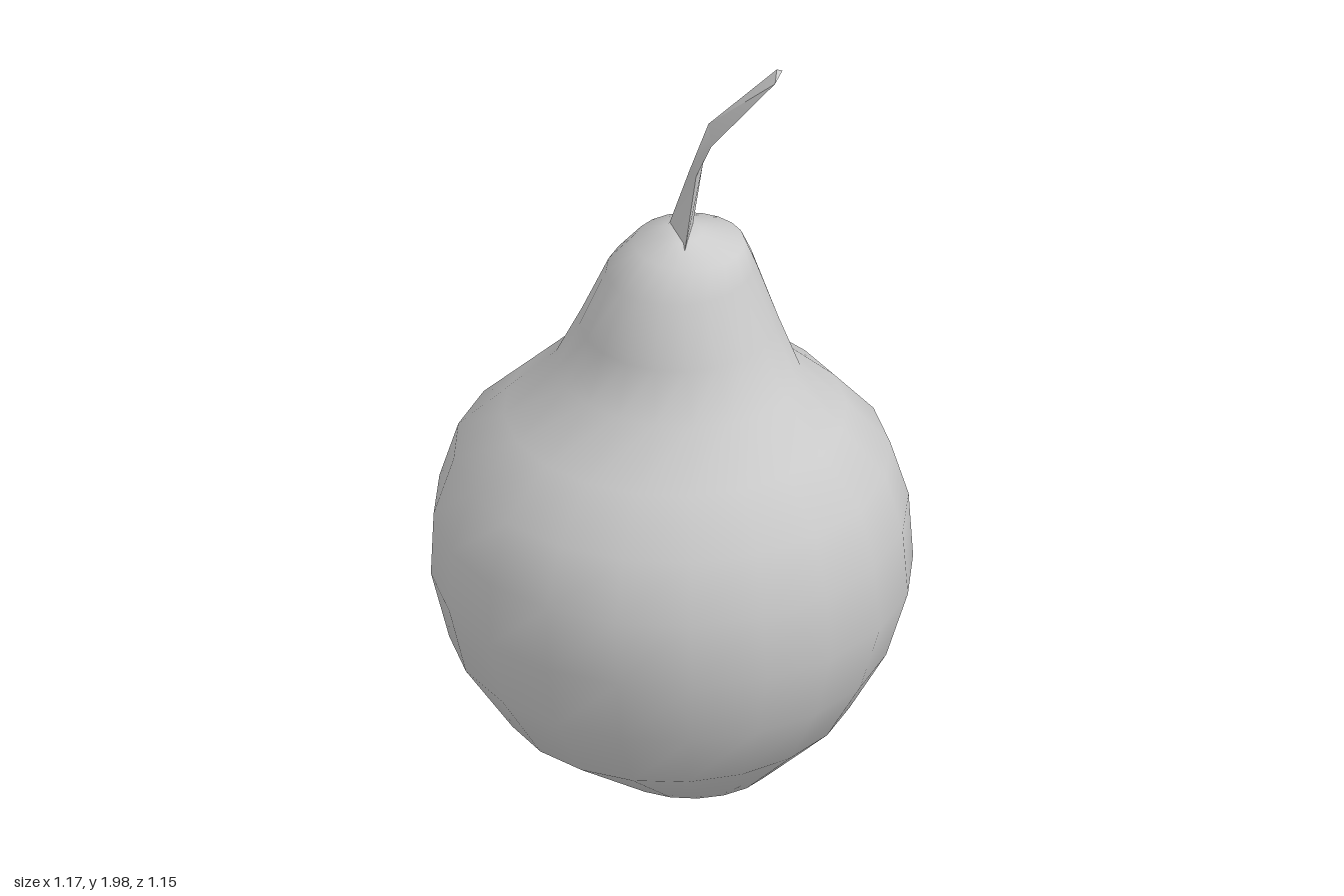
import * as THREE from 'three';
import { toCreasedNormals } from 'three/addons/utils/BufferGeometryUtils.js';

// Skin a stack of closed rings (bottom to top) and close both ends with a centre point.
function loft(rings, bottom, top) {
  const n = rings[0].length, last = (rings.length - 1) * n;
  const points = [...rings.flat(), bottom, top];
  const b = points.length - 2, t = points.length - 1, index = [];
  for (let j = 0; j < n; j++) {
    const k = (j + 1) % n;
    for (let r = 0; r < last; r += n) {
      index.push(r + j, r + n + j, r + k, r + k, r + n + j, r + n + k);
    }
    index.push(b, j, k, t, last + k, last + j);
  }
  const geometry = new THREE.BufferGeometry();
  geometry.setAttribute('position', new THREE.Float32BufferAttribute(points.flat(), 3));
  geometry.setIndex(index);
  geometry.computeVertexNormals();
  return geometry;
}

// Oval ring filling the given extents.
function ovalRing([y, x0, x1, z0, z1], sides = 20) {
  return Array.from({ length: sides }, (_, i) => {
    const a = (i / sides) * Math.PI * 2;
    return [
      (x0 + x1) / 2 + Math.cos(a) * (x1 - x0) / 2,
      y,
      (z0 + z1) / 2 + Math.sin(a) * (z1 - z0) / 2,
    ];
  });
}

export function createModel() {
  const group = new THREE.Group();
  group.name = 'pear';
  const material = new THREE.MeshStandardMaterial({ color: 0xcccccc });

  // Fruit: round belly, slightly leaning neck; rows are y, xMin, xMax, zMin, zMax
  const sections = [
    [0.02, -0.17, 0.25, -0.22, 0.19],
    [0.21, -0.40, 0.44, -0.44, 0.45],
    [0.37, -0.54, 0.53, -0.53, 0.53],
    [0.55, -0.585, 0.585, -0.575, 0.575],
    [0.72, -0.575, 0.57, -0.575, 0.575],
    [0.87, -0.53, 0.53, -0.52, 0.52],
    [1.0, -0.40, 0.43, -0.40, 0.42],
    [1.12, -0.28, 0.33, -0.26, 0.29],
    [1.25, -0.215, 0.265, -0.23, 0.25],
    [1.41, -0.14, 0.21, -0.175, 0.21],
    [1.47, -0.09, 0.18, -0.14, 0.13],
    [1.51, -0.01, 0.09, -0.03, 0.08],
  ];
  const fruit = new THREE.Mesh(
    loft(sections.map((s) => ovalRing(s)), [0.04, 0.025, 0], [0.04, 1.51, 0.02]), material);
  fruit.name = 'fruit';

  // Stem: bent three-sided stalk; corners run left, back, front
  const stemRings = [
    [[-0.01, 1.5, 0], [0.04, 1.5, -0.03], [0.085, 1.5, 0.08]],
    [[0.055, 1.68, 0.01], [0.075, 1.69, -0.02], [0.075, 1.67, 0.012]],
    [[0.11, 1.83, 0.012], [0.12, 1.8, -0.014], [0.12, 1.77, 0.015]],
    [[0.265, 2.0, -0.05], [0.275, 1.995, -0.06], [0.275, 1.975, -0.025]],
  ];
  const stem = new THREE.Mesh(
    toCreasedNormals(loft(stemRings, [0.04, 1.5, 0.02], [0.272, 1.99, -0.045]), 0.7), material);
  stem.name = 'stem';

  group.add(fruit, stem);
  return group;
}
